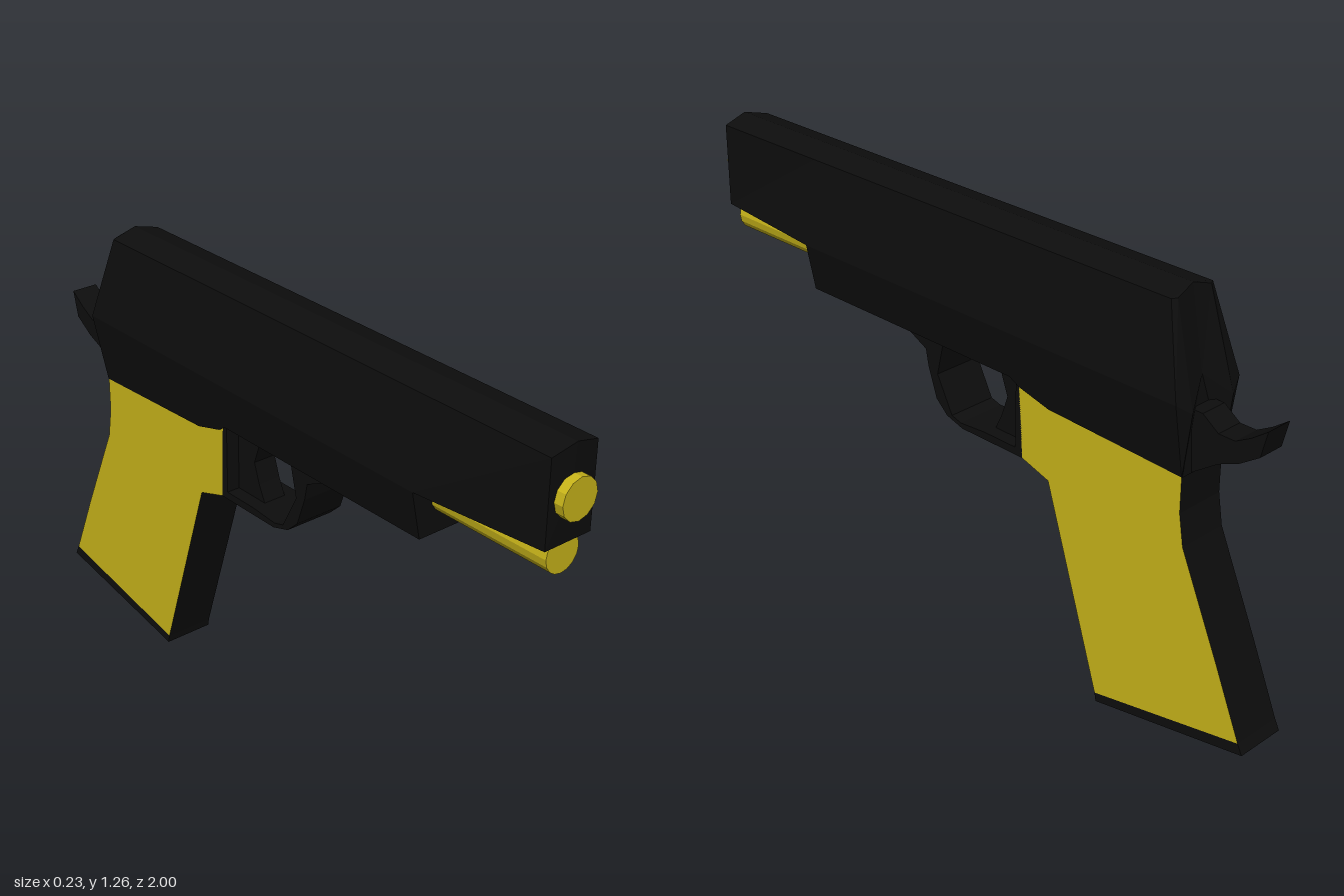
import * as THREE from 'three';

const black = new THREE.MeshStandardMaterial({ color: 0x0d0d0d, flatShading: true });
const yellow = new THREE.MeshStandardMaterial({ color: 0xc8b41a, flatShading: true });

// Side profile given as [z, y] points, extruded across x to the given half width
function sidePart(name, points, half, material, hole) {
  const toVec = ([z, y]) => new THREE.Vector2(-z, y);
  const shape = new THREE.Shape(points.map(toVec));
  if (hole) shape.holes.push(new THREE.Path(hole.map(toVec)));
  const geo = new THREE.ExtrudeGeometry(shape, { depth: half * 2, bevelEnabled: false });
  geo.translate(0, 0, -half).rotateY(Math.PI / 2);
  const mesh = new THREE.Mesh(geo, material);
  mesh.name = name;
  return mesh;
}

// Half section [x, y, z] from the top centre down, mirrored into a closed ring
function ring(half) {
  const mirrored = half.slice(1).reverse().map(([x, y, z]) => [-x, y, z]);
  return [...half, ...mirrored];
}

// Skin rings ordered from front to back and cap both ends
function loft(name, halves, material) {
  const rings = halves.map(ring);
  const n = rings[0].length;
  const pos = [];
  const tri = (a, b, c) => pos.push(...a, ...b, ...c);
  const centre = (r) => [0, 1, 2].map((k) => r.reduce((s, p) => s + p[k], 0) / n);
  const first = rings[0], last = rings[rings.length - 1];
  const c0 = centre(first), c1 = centre(last);
  for (let j = 0; j < n; j++) {
    const k = (j + 1) % n;
    for (let i = 0; i < rings.length - 1; i++) {
      tri(rings[i][j], rings[i][k], rings[i + 1][j]);
      tri(rings[i][k], rings[i + 1][k], rings[i + 1][j]);
    }
    tri(c0, first[k], first[j]);
    tri(c1, last[j], last[k]);
  }
  const geo = new THREE.BufferGeometry();
  geo.setAttribute('position', new THREE.Float32BufferAttribute(pos, 3));
  geo.computeVertexNormals();
  const mesh = new THREE.Mesh(geo, material);
  mesh.name = name;
  return mesh;
}

// Round bar along z
function bar(name, radius, y, front, back, sides) {
  const geo = new THREE.CylinderGeometry(radius, radius, front - back, sides);
  geo.rotateX(Math.PI / 2);
  const mesh = new THREE.Mesh(geo, yellow);
  mesh.name = name;
  mesh.position.set(0, y, (front + back) / 2);
  return mesh;
}

export function createModel() {
  const model = new THREE.Group();
  model.name = 'pistol';

  // Tapering nose of the slide
  model.add(loft('slideNose', [
    [[0, 1.26, 0.98], [0.075, 1.24, 0.973], [0.075, 1.0, 0.973]],
    [[0, 1.26, 0.58], [0.075, 1.24, 0.58], [0.117, 1.0, 0.58]],
  ], black));

  // Slide and frame: six-sided section with a stepped underside
  const section = (z, bx, by) => [[0, 1.26, z], [0.075, 1.24, z], [0.117, 1.0, z], [bx, by, z]];
  model.add(loft('slideAndFrame', [
    section(0.58, 0.089, 0.86),
    section(-0.19, 0.089, 0.86),
    section(-0.22, 0.085, 0.84),
    section(-0.32, 0.079, 0.81),
    [[0, 1.26, -0.70], [0.075, 1.24, -0.70], [0.117, 1.0, -0.765], [0.075, 0.79, -0.76]],
    [[0, 1.26, -0.702], [0.06, 1.24, -0.708], [0.075, 0.97, -0.783], [0.075, 0.79, -0.762]],
  ], black));

  // Barrel and the rod below it
  model.add(bar('barrel', 0.057, 1.122, 1.0, 0.9, 12));
  model.add(bar('recoilRod', 0.054, 0.964, 0.96, 0.56, 16));

  // Trigger guard with its opening
  model.add(sidePart('triggerGuard', [
    [0.2, 0.88], [0.225, 0.862], [0.14, 0.82], [0.13, 0.77], [0.1, 0.685], [0.06, 0.648],
    [0, 0.63], [-0.225, 0.63], [-0.215, 0.88],
  ], 0.075, black, [
    [0.07, 0.868], [0.095, 0.76], [0.04, 0.655], [0.005, 0.645],
    [-0.085, 0.652], [-0.2, 0.652], [-0.2, 0.868],
  ]));
  model.add(sidePart('trigger', [
    [-0.085, 0.88], [-0.105, 0.83], [-0.13, 0.76], [-0.11, 0.7], [-0.085, 0.648],
    [-0.21, 0.648], [-0.21, 0.88],
  ], 0.035, black));

  // Grip: yellow side panels, black front and back straps
  model.add(sidePart('grip', [
    [-0.21, 0.845], [-0.225, 0.63], [-0.32, 0.6], [-0.505, 0.025], [-0.985, 0.12],
    [-0.9, 0.32], [-0.775, 0.6], [-0.76, 0.69], [-0.76, 0.795], [-0.32, 0.815],
  ], 0.075, [yellow, black]));
  model.add(sidePart('magazineBase', [
    [-0.505, 0.025], [-0.51, 0], [-1.0, 0.09], [-0.985, 0.12],
  ], 0.075, black));

  // Hammer spur curling up behind the frame
  model.add(sidePart('hammerSpur', [
    [-0.74, 0.96], [-0.785, 0.96], [-0.835, 0.925], [-0.885, 0.925], [-0.93, 0.95],
    [-0.978, 0.985], [-0.96, 0.91], [-0.9, 0.87], [-0.84, 0.845], [-0.76, 0.79],
  ], 0.04, black));

  return model;
}
